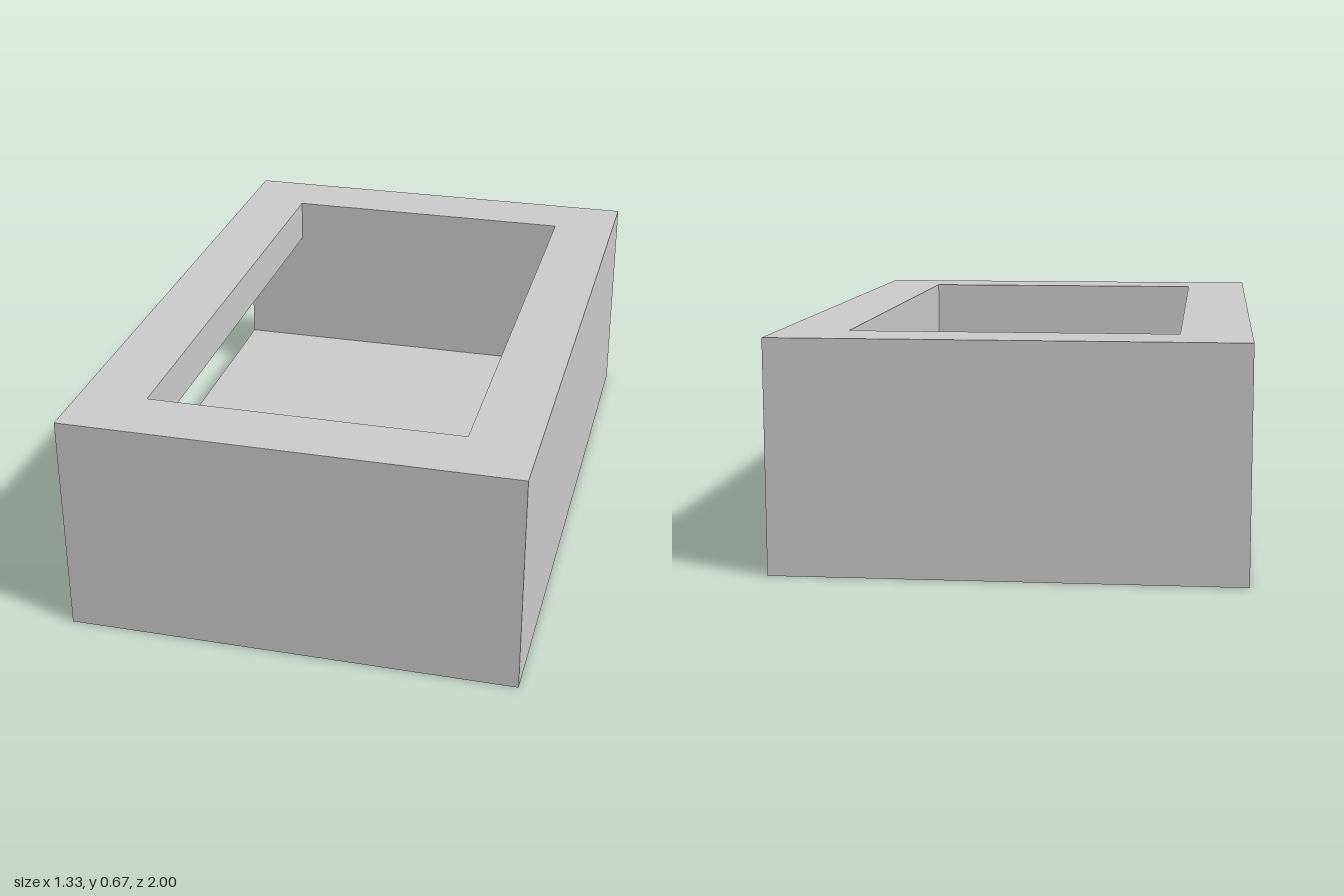
import * as THREE from 'three';

// Outer half width, half depth and height
const W = 0.667, D = 1, H = 0.667;
// Cavity half width, half depth and floor level
const w = 0.467, d = 0.8, floorY = 0.133;
// Side window: top edge and front jamb (its other edges are flush with the cavity)
const winTop = 0.533, jamb = 0.667;

const material = new THREE.MeshStandardMaterial({ color: 0xcccccc, flatShading: true });

// Turns that make a flat shape face each direction: [rotateX, rotateY]
const TURN = {
  front: [0, 0],                // u = x,  v = y
  back: [0, Math.PI],           // u = -x, v = y
  left: [0, Math.PI / 2],       // u = -z, v = y   (faces +x)
  right: [0, -Math.PI / 2],     // u = z,  v = y   (faces -x)
  up: [-Math.PI / 2, 0],        // u = x,  v = -z
  down: [Math.PI / 2, 0],       // u = x,  v = z
};

const rect = (u0, v0, u1, v1) => [[u0, v0], [u1, v0], [u1, v1], [u0, v1]];
const toPoints = (list) => list.map(([u, v]) => new THREE.Vector2(u, v));

// Flat panel facing a direction, at a distance from the origin along it
function panel(name, facing, distance, outline, hole) {
  const shape = new THREE.Shape(toPoints(outline));
  if (hole) shape.holes.push(new THREE.Path(toPoints(hole)));
  const [rx, ry] = TURN[facing];
  const geometry = new THREE.ShapeGeometry(shape)
    .translate(0, 0, distance)
    .rotateX(rx)
    .rotateY(ry);
  const mesh = new THREE.Mesh(geometry, material);
  mesh.name = name;
  return mesh;
}

function group(name, ...children) {
  const g = new THREE.Group();
  g.name = name;
  g.add(...children);
  return g;
}

export function createModel() {
  // Outer shell, with the window cut in the right side
  const shell = group('outerShell',
    panel('frontWall', 'front', D, rect(-W, 0, W, H)),
    panel('backWall', 'back', D, rect(-W, 0, W, H)),
    panel('leftWall', 'left', W, rect(-D, 0, D, H)),
    panel('rightWall', 'right', W, rect(-D, 0, D, H), rect(-d, floorY, jamb, winTop)),
    panel('underside', 'down', 0, rect(-W, -D, W, D)),
    panel('rim', 'up', H, rect(-W, -D, W, D), rect(-w, -d, w, d)),
  );

  // Cavity; its floor and back wall run out through the window
  const cavity = group('cavity',
    panel('floor', 'up', floorY,
      [[-w, -d], [w, -d], [w, d], [-W, d], [-W, -jamb], [-w, -jamb]]),
    panel('innerBackWall', 'front', -d,
      [[-W, floorY], [w, floorY], [w, H], [-w, H], [-w, winTop], [-W, winTop]]),
    panel('innerFrontWall', 'back', -d, rect(-w, floorY, w, H)),
    panel('innerLeftWall', 'right', -w, rect(-d, floorY, d, H)),
    panel('innerRightWall', 'left', -w,
      [[-d, floorY], [-jamb, floorY], [-jamb, winTop], [d, winTop], [d, H], [-d, H]]),
  );

  // Remaining window reveals
  const window = group('sideWindow',
    panel('windowJamb', 'back', -jamb, rect(w, floorY, W, winTop)),
    panel('windowLintel', 'down', -winTop, rect(-W, -d, -w, jamb)),
  );

  return group('openBox', shell, cavity, window);
}
